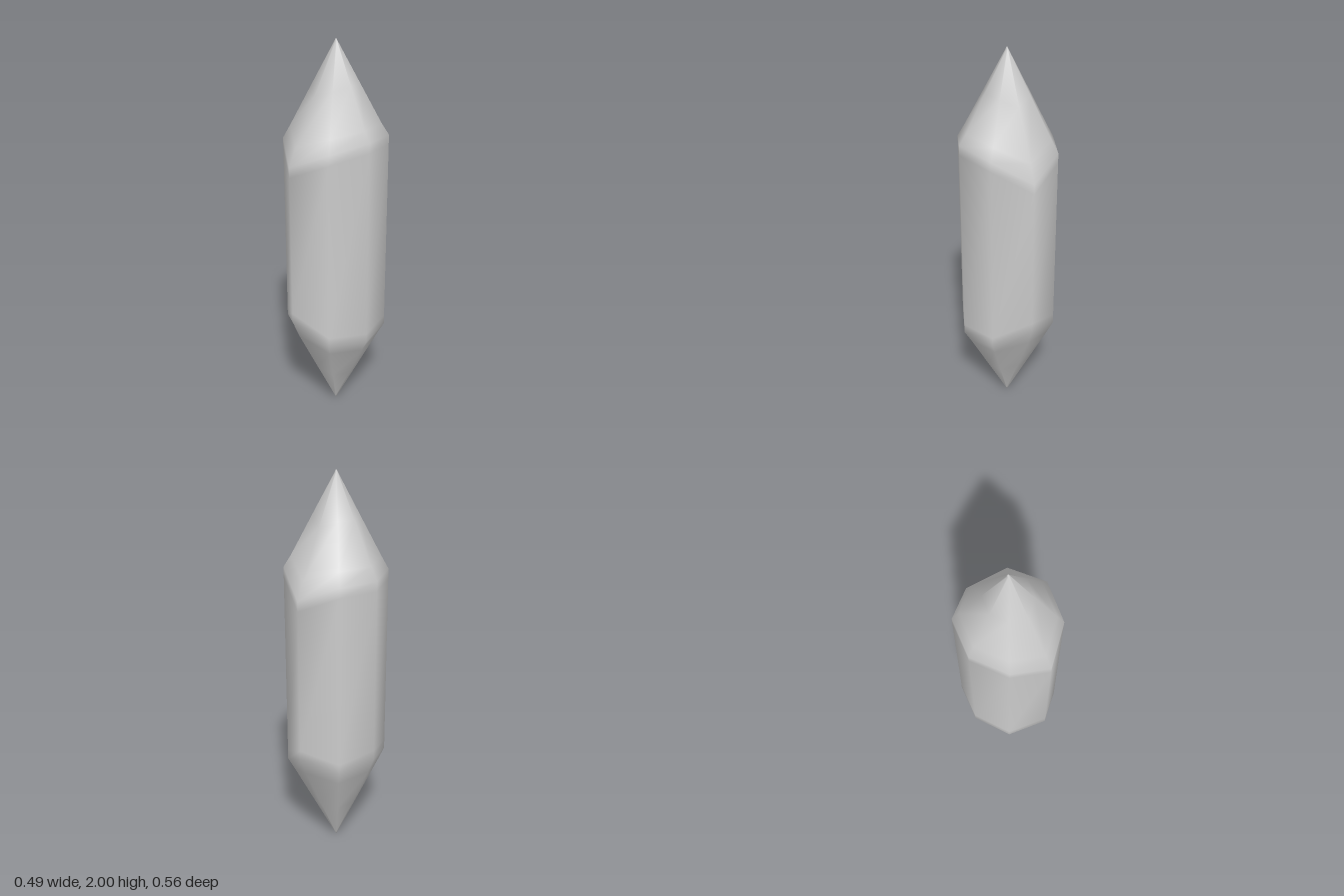
import * as THREE from 'three';

// Eight corners round the shaft: x, z, height of the lower rim, height of the upper rim
const corners = [
  [0.247, 0, 0.48, 1.56],
  [0.174, 0.183, 0.49, 1.52],
  [0, 0.279, 0.59, 1.43],
  [-0.174, 0.186, 0.52, 1.51],
  [-0.247, 0, 0.56, 1.51],
  [-0.174, -0.187, 0.53, 1.51],
  [0, -0.28, 0.59, 1.43],
  [0.174, -0.183, 0.49, 1.54],
];

// Height on a point of the crystal: uneven at the rim, evening out toward the tip
const tipHeight = (s, rise) => s * (0.8 * rise + 0.2 * (s > 0.99 ? rise : 0.51));

// Rings from bottom to top: radius scale and a height rule for each corner
const rings = [
  [0.03, (lo) => tipHeight(0.03, lo)],
  [0.45, (lo) => tipHeight(0.45, lo)],
  [0.86, (lo) => tipHeight(0.86, lo)],
  [1, (lo) => lo],
  [1, (lo) => lo + 0.05],
  [1, (lo, hi) => hi - 0.05],
  [1, (lo, hi) => hi],
  [0.86, (lo, hi) => 2 - tipHeight(0.86, 2 - hi)],
  [0.45, (lo, hi) => 2 - tipHeight(0.45, 2 - hi)],
  [0.03, (lo, hi) => 2 - tipHeight(0.03, 2 - hi)],
];

function crystalGeometry() {
  const positions = [];
  const index = [];
  const n = corners.length;
  for (const [scale, height] of rings) {
    for (const [x, z, lo, hi] of corners) positions.push(x * scale, height(lo, hi), z * scale);
  }
  // Side quads between neighbouring rings
  for (let r = 0; r < rings.length - 1; r++) {
    for (let i = 0; i < n; i++) {
      const a = r * n + i;
      const b = r * n + (i + 1) % n;
      index.push(a, a + n, b, b, a + n, b + n);
    }
  }
  // Sharp tips
  const bottom = positions.length / 3;
  const top = bottom + 1;
  const last = (rings.length - 1) * n;
  positions.push(0, 0, 0, 0, 2, 0);
  for (let i = 0; i < n; i++) {
    const j = (i + 1) % n;
    index.push(bottom, i, j, top, last + j, last + i);
  }
  const geometry = new THREE.BufferGeometry();
  geometry.setAttribute('position', new THREE.Float32BufferAttribute(positions, 3));
  geometry.setIndex(index);
  geometry.computeVertexNormals();
  return geometry;
}

export function createModel() {
  const group = new THREE.Group();
  group.name = 'crystal';
  const shard = new THREE.Mesh(crystalGeometry(), new THREE.MeshStandardMaterial({ color: 0xcccccc }));
  shard.name = 'crystalShard';
  group.add(shard);
  return group;
}
